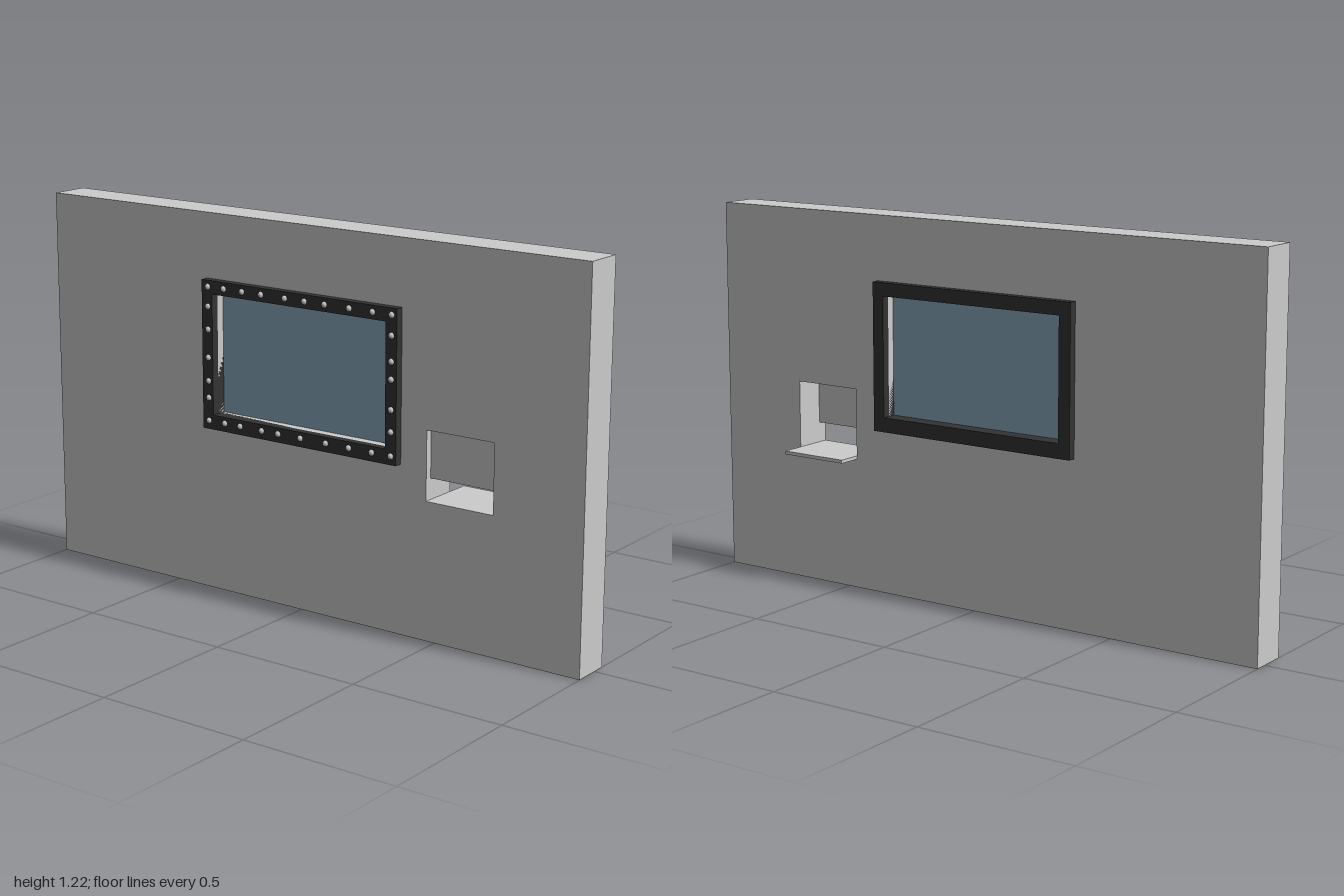
import * as THREE from 'three';

const grey = new THREE.MeshStandardMaterial({ color: 0xcccccc });
const dark = new THREE.MeshStandardMaterial({ color: 0x333333 });
const blue = new THREE.MeshStandardMaterial({ color: 0x88a9bc });

// Rectangles are [x0, x1, y0, y1]
const WALL = [-1, 1, 0, 1.218];
const FRAME_OUTER = [-0.367, 0.371, 0.535, 1.011];
const FRAME_INNER = [-0.326, 0.331, 0.582, 0.968];
const HATCH = [0.463, 0.697, 0.426, 0.655];

function trace(path, [x0, x1, y0, y1]) {
  path.moveTo(x0, y0);
  path.lineTo(x1, y0);
  path.lineTo(x1, y1);
  path.lineTo(x0, y1);
  path.closePath();
  return path;
}

// Flat plate with rectangular openings, spanning z0 to z1
function plate(name, rect, holes, z0, z1, material) {
  const shape = trace(new THREE.Shape(), rect);
  for (const hole of holes) shape.holes.push(trace(new THREE.Path(), hole));
  const geometry = new THREE.ExtrudeGeometry(shape, { depth: z1 - z0, bevelEnabled: false });
  geometry.translate(0, 0, z0);
  const mesh = new THREE.Mesh(geometry, material);
  mesh.name = name;
  return mesh;
}

export function createModel() {
  const model = new THREE.Group();
  model.name = 'wallWithWindowAndHatch';

  // Thick wall with window and hatch openings
  model.add(plate('wall', WALL, [FRAME_INNER, HATCH], -0.043, 0.085, grey));

  // Window frame passes through the wall and stands proud on both sides
  model.add(plate('windowFrame', FRAME_OUTER, [FRAME_INNER], -0.069, 0.111, dark));
  model.add(plate('windowGlass', FRAME_INNER, [], -0.018, 0.058, blue));

  // Hatch: upper flap near the front, shelf sticking out at the back
  const [hx0, hx1, hy0, hy1] = HATCH;
  model.add(plate('hatchFlap', [hx0, hx1, 0.503, hy1], [], 0.054, 0.062, grey));
  model.add(plate('hatchShelf', [hx0, hx1, hy0, hy0 + 0.011], [], -0.12, 0.085, grey));

  // Round-headed bolts, unevenly spaced around the front of the frame
  const bolts = new THREE.Group();
  bolts.name = 'frameBolts';
  const head = new THREE.SphereGeometry(0.01, 12, 8);
  const addBolt = (x, y) => {
    const bolt = new THREE.Mesh(head, grey);
    bolt.name = 'bolt';
    bolt.position.set(x, y, 0.11);
    bolts.add(bolt);
  };
  const left = -0.343, right = 0.352, top = 0.99, bottom = 0.562;
  [left, -0.28, -0.208, -0.134, -0.043, 0.032, 0.107, 0.198, 0.283, right].forEach((x) => addBolt(x, top));
  [left, -0.28, -0.219, -0.134, -0.07, 0.016, 0.112, 0.198, 0.283, right].forEach((x) => addBolt(x, bottom));
  [0.928, 0.855, 0.765, 0.69, 0.636].forEach((y) => addBolt(left, y));
  [0.928, 0.85, 0.796, 0.704, 0.636].forEach((y) => addBolt(right, y));
  model.add(bolts);

  return model;
}
